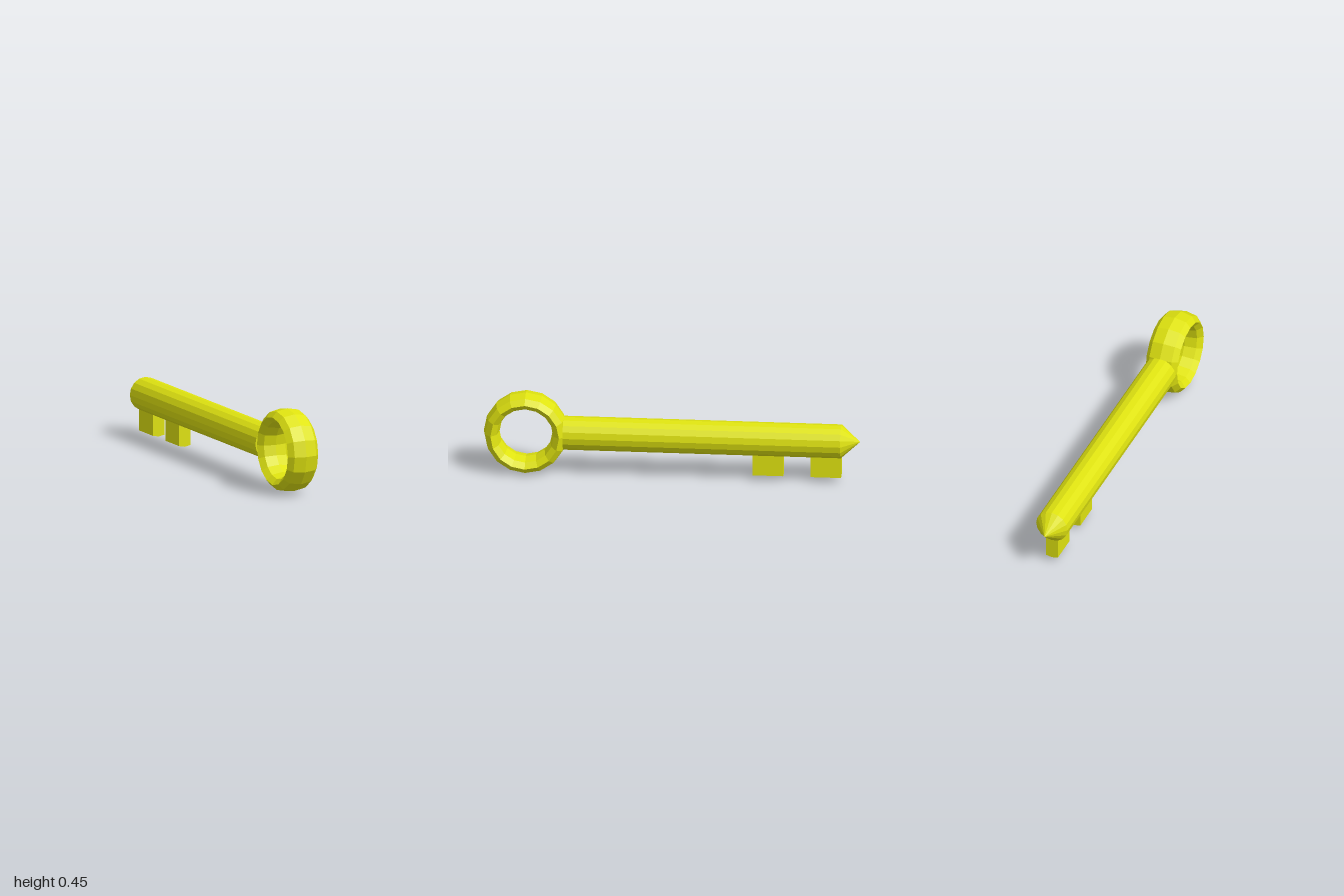
import * as THREE from 'three';

export function createModel() {
  const model = new THREE.Group();
  const gold = new THREE.MeshStandardMaterial({ color: 0xdfe310, flatShading: true });
  const axisY = 0.227, radius = 0.09, sides = 16;

  const add = (name, geometry, y, z) => {
    const mesh = new THREE.Mesh(geometry, gold);
    mesh.name = name;
    mesh.position.set(0, y, z);
    model.add(mesh);
  };

  // Ring handle: an octagonal-section torus widened across x
  const ring = new THREE.TorusGeometry(0.182, 0.042, 8, sides);
  ring.scale(1, 1, radius / 0.042).rotateY(Math.PI / 2);
  add('ringHandle', ring, axisY, 0.776);

  // Shaft and pointed tip, both along z
  const shaftFront = 0.575, shaftBack = -0.9;
  const shaft = new THREE.CylinderGeometry(radius, radius, shaftFront - shaftBack, sides);
  add('shaft', shaft.rotateX(-Math.PI / 2), axisY, (shaftFront + shaftBack) / 2);
  const tip = new THREE.ConeGeometry(radius, 0.1, sides, 1, true);
  add('tip', tip.rotateX(-Math.PI / 2), axisY, shaftBack - 0.05);

  // Teeth: the two lowest shaft facets drawn straight down
  const halfWidth = radius * Math.sin(Math.PI / 8);
  const rise = radius * (1 - Math.cos(Math.PI / 8));
  const drop = 0.113;
  const profile = new THREE.Shape([
    new THREE.Vector2(0, 0),
    new THREE.Vector2(halfWidth, rise),
    new THREE.Vector2(halfWidth, drop + rise),
    new THREE.Vector2(0, drop),
    new THREE.Vector2(-halfWidth, drop + rise),
    new THREE.Vector2(-halfWidth, rise),
  ]);
  [['innerTooth', -0.593], ['outerTooth', shaftBack]].forEach(([name, z]) => {
    const tooth = new THREE.ExtrudeGeometry(profile, { depth: 0.162, bevelEnabled: false });
    add(name, tooth, axisY - radius - drop, z);
  });

  return model;
}
